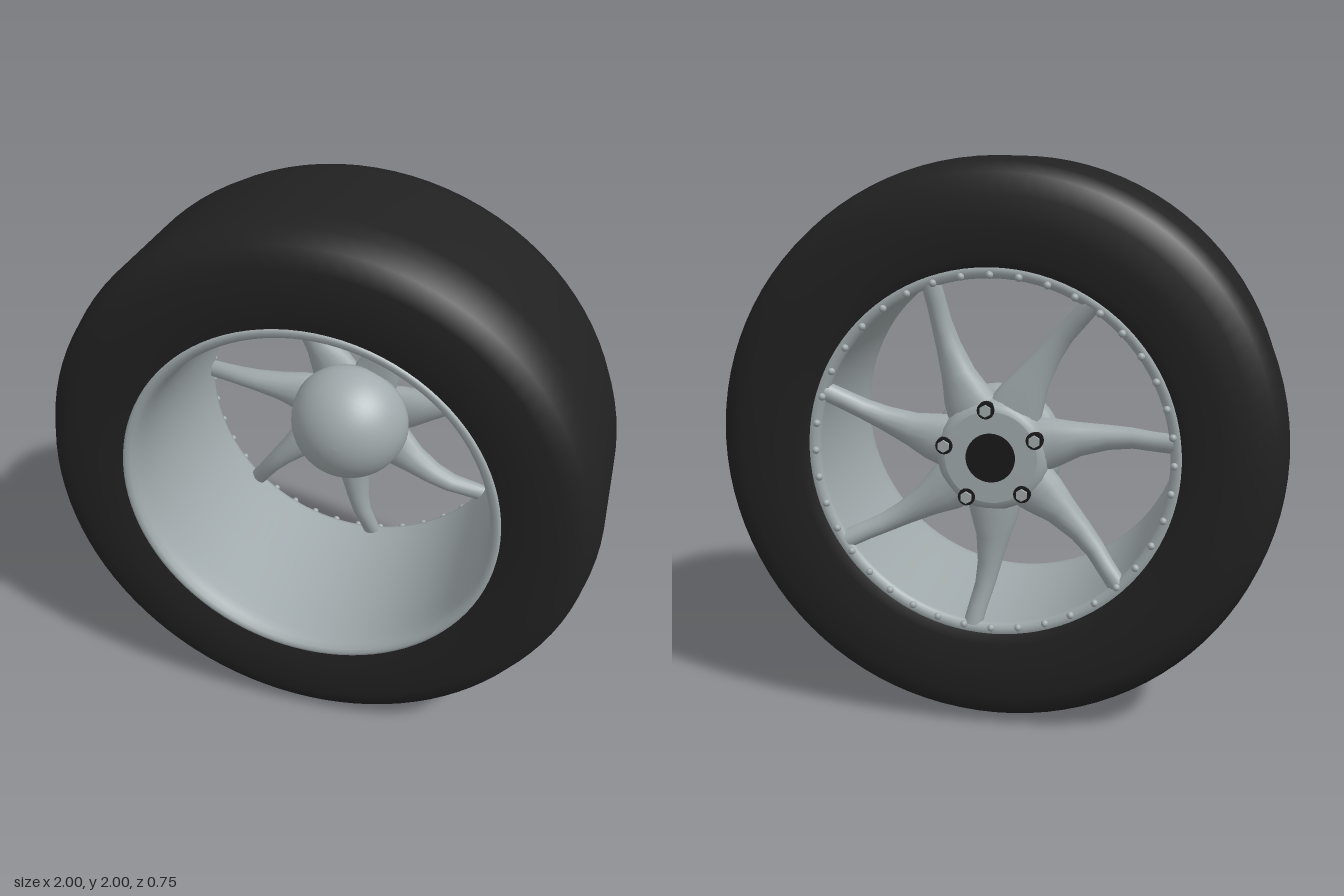
import * as THREE from 'three';

const rubber = new THREE.MeshStandardMaterial({ color: 0x212121 });
rubber.name = 'tyre rubber';
const metal = new THREE.MeshStandardMaterial({ color: 0xa0a9ab });
metal.name = 'rim metal';
const dark = new THREE.MeshStandardMaterial({ color: 0x191919 });
dark.name = 'dark inserts';

export function createModel() {
  const wheel = new THREE.Group();
  wheel.name = 'wheel';
  const axle = new THREE.Group(); // wheel centre; the axle runs along z
  axle.name = 'wheelAssembly';
  axle.position.y = 1;
  wheel.add(axle);

  const add = (name, geometry, material, parent = axle) => {
    const mesh = new THREE.Mesh(geometry, material);
    mesh.name = name;
    parent.add(mesh);
    return mesh;
  };
  // Lathe around z from [radius, z] points
  const turned = (points, segments) =>
    new THREE.LatheGeometry(points.map(([r, z]) => new THREE.Vector2(r, z)), segments).rotateX(Math.PI / 2);
  // Short cylinder along z
  const disc = (r, depth, sides) => new THREE.CylinderGeometry(r, r, depth, sides).rotateX(Math.PI / 2);

  // Tyre
  add('tyre', turned([
    [0.64, -0.355], [0.68, -0.372], [0.78, -0.375], [0.88, -0.375], [0.95, -0.347], [0.985, -0.285], [1, -0.21],
    [1, 0], [1, 0.21], [0.985, 0.285], [0.95, 0.347], [0.88, 0.375], [0.78, 0.375], [0.68, 0.37], [0.66, 0.35],
  ], 96), rubber);

  // Deep barrel with rolled front and rear lips
  add('rimBarrel', turned([
    [0.66, 0.345], [0.679, 0.36], [0.677, 0.372], [0.666, 0.375], [0.65, 0.37], [0.638, 0.35], [0.632, 0.31],
    [0.628, 0.25], [0.618, 0], [0.61, -0.25], [0.606, -0.335], [0.609, -0.35], [0.622, -0.358],
    [0.64, -0.362], [0.648, -0.35],
  ], 96), metal);

  // Rivets around the rear lip
  const rivets = new THREE.Group();
  rivets.name = 'rivets';
  axle.add(rivets);
  const rivetGeometry = new THREE.SphereGeometry(0.013, 10, 8);
  for (let i = 0; i < 40; i++) {
    const a = (i / 40) * Math.PI * 2;
    add('rivet', rivetGeometry, metal, rivets).position.set(0.619 * Math.cos(a), 0.619 * Math.sin(a), -0.361);
  }

  // Domed hub facing the front
  const dome = [[0.2, -0.26], [0.222, -0.25]];
  for (let i = 0; i <= 14; i++) {
    const a = (i / 14) * Math.PI / 2;
    dome.push([0.23 * Math.cos(a), -0.22 + 0.23 * Math.sin(a)]);
  }
  add('hubDome', turned(dome, 48), metal);

  // Hub body and its flat mounting face at the rear
  add('hubBody', turned([
    [0.16, -0.356], [0.178, -0.35], [0.19, -0.335], [0.196, -0.31], [0.2, -0.255],
  ], 48), metal);
  add('hubFace', turned([[0, -0.357], [0.16, -0.356]], 48), metal);
  add('axleCap', disc(0.085, 0.012, 40), dark).position.z = -0.358;

  // Five lug bolts in dark sockets
  for (let i = 0; i < 5; i++) {
    const bolt = new THREE.Group();
    const a = Math.PI * (0.47 + 0.4 * i);
    bolt.name = 'lugBolt';
    bolt.position.set(0.165 * Math.cos(a), 0.165 * Math.sin(a), -0.35);
    axle.add(bolt);
    add('boltSocket', disc(0.03, 0.024, 16), dark, bolt);
    add('boltHead', disc(0.021, 0.04, 6), metal, bolt).position.z = -0.004;
  }

  // Seven curved, tapering spokes
  const spokeGeometry = makeSpoke();
  for (let i = 0; i < 7; i++) {
    add('spoke', spokeGeometry, metal).rotation.z = 1.232 + (i * Math.PI * 2) / 7;
  }
  return wheel;
}

// Oval cross-sections swept outward: radius, sideways offset, z, half width, half depth
function makeSpoke() {
  const sections = [
    [0.14, -0.015, -0.29, 0.1, 0.055],
    [0.22, -0.022, -0.288, 0.085, 0.055],
    [0.3, -0.027, -0.283, 0.06, 0.052],
    [0.4, -0.026, -0.283, 0.043, 0.046],
    [0.48, -0.02, -0.292, 0.036, 0.041],
    [0.55, -0.008, -0.312, 0.034, 0.036],
    [0.618, 0.002, -0.33, 0.034, 0.03],
  ];
  const sides = 16;
  const positions = [];
  const indices = [];
  sections.forEach(([r, t, z, w, d], i) => {
    for (let j = 0; j < sides; j++) {
      const a = (j / sides) * Math.PI * 2;
      positions.push(r, t + w * Math.cos(a), z + d * Math.sin(a));
      if (i === sections.length - 1) continue;
      const p = i * sides + j;
      const q = i * sides + ((j + 1) % sides);
      indices.push(p, q, p + sides, q, q + sides, p + sides);
    }
  });
  const geometry = new THREE.BufferGeometry();
  geometry.setAttribute('position', new THREE.Float32BufferAttribute(positions, 3));
  geometry.setIndex(indices);
  geometry.computeVertexNormals();
  return geometry;
}
